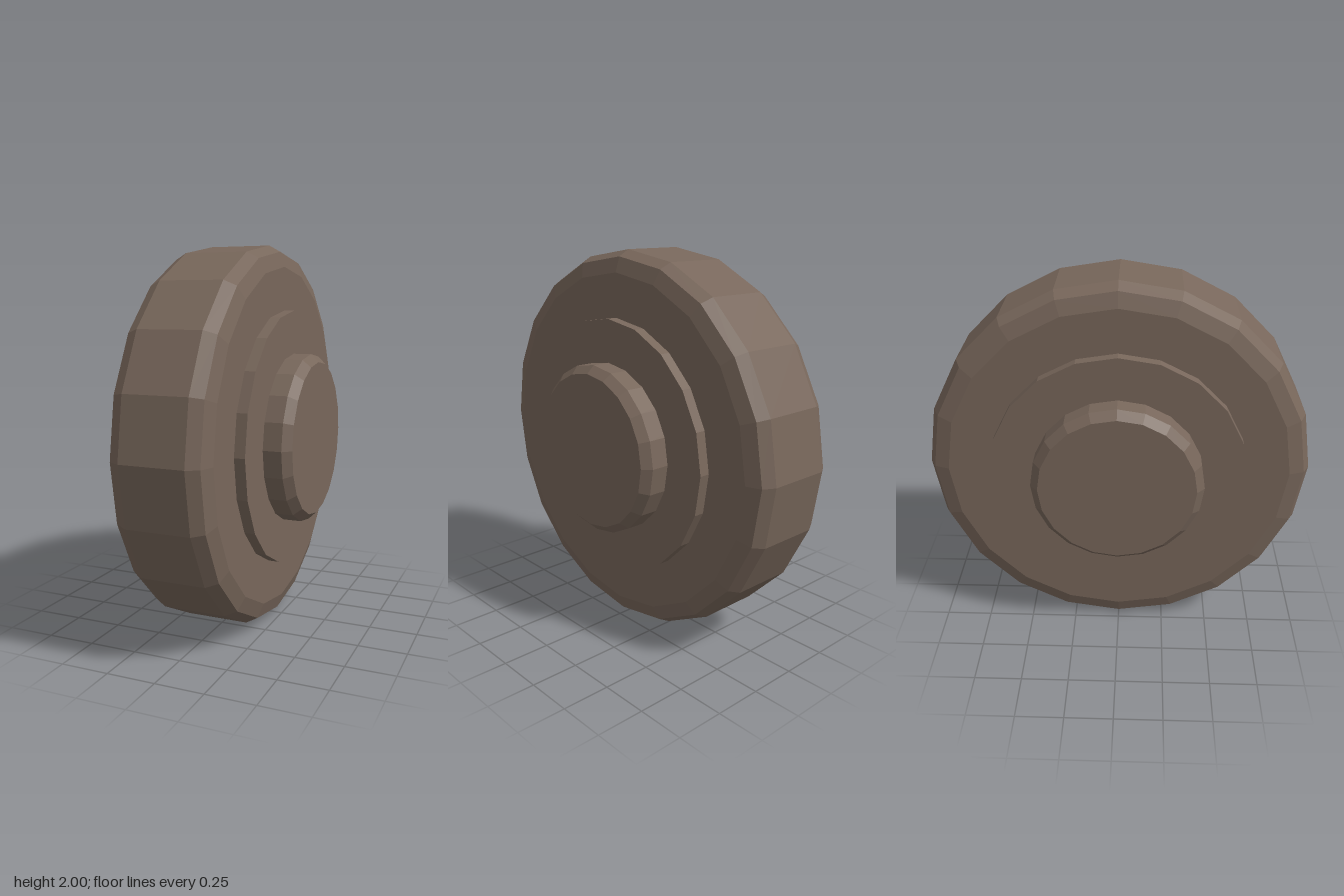
import * as THREE from 'three';

const SIDES = 20;
const material = new THREE.MeshStandardMaterial({ color: 0x78675b, flatShading: true });

// Solid of revolution about the x axle, symmetric in x.
// half: [radius, x] pairs running from the rim outward to the +x face.
function turned(name, half) {
  const right = half.map(([r, x]) => new THREE.Vector2(r, x));
  const left = half.map(([r, x]) => new THREE.Vector2(r, -x)).reverse();
  const end = half[half.length - 1][1];
  const profile = [new THREE.Vector2(0, -end), ...left, ...right, new THREE.Vector2(0, end)];
  const geometry = new THREE.LatheGeometry(profile, SIDES);
  geometry.rotateZ(-Math.PI / 2);
  const mesh = new THREE.Mesh(geometry, material);
  mesh.name = name;
  return mesh;
}

export function createModel() {
  const wheel = new THREE.Group();
  wheel.name = 'wheel';

  // Broad tyre with a two-step bevel
  const tyre = turned('tyre', [[1, 0.165], [0.967, 0.225], [0.89, 0.25]]);
  // Flat plate standing slightly proud of both faces
  const plate = turned('sidePlate', [[0.665, 0.305]]);
  // Chamfered hub through the middle
  const hub = turned('hub', [[0.442, 0.4], [0.402, 0.442]]);

  for (const part of [tyre, plate, hub]) {
    part.position.y = 1;
    wheel.add(part);
  }
  return wheel;
}
